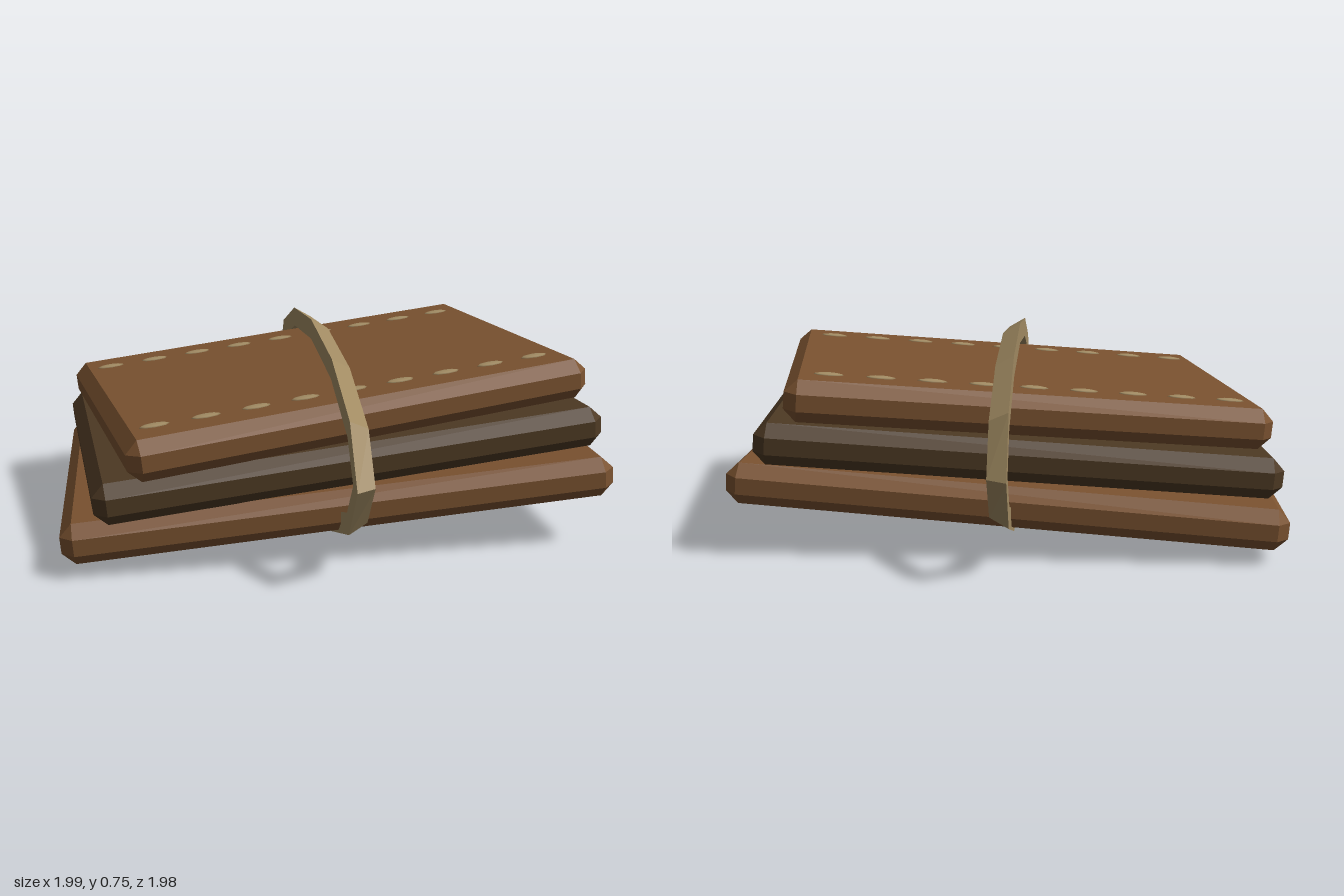
import * as THREE from 'three';
import { ConvexGeometry } from 'three/addons/geometries/ConvexGeometry.js';

// Box with one flat chamfer on every edge, from half sizes.
function chamferedBox(a, h, b, c) {
  const points = [];
  for (const sx of [-1, 1]) for (const sy of [-1, 1]) for (const sz of [-1, 1]) {
    points.push(
      new THREE.Vector3(sx * a, sy * (h - c), sz * (b - c)),
      new THREE.Vector3(sx * (a - c), sy * h, sz * (b - c)),
      new THREE.Vector3(sx * (a - c), sy * (h - c), sz * b)
    );
  }
  return new ConvexGeometry(points);
}

// Elliptical loop in the yz plane, sampled at even angles.
class StrapLoop extends THREE.Curve {
  getPoint(t, target = new THREE.Vector3()) {
    const angle = t * Math.PI * 2;
    return target.set(0, 0.375 + 0.335 * Math.sin(angle), 0.95 * Math.cos(angle));
  }
  getUtoTmapping(u) { return u; }
}

function material(name, color) {
  const m = new THREE.MeshStandardMaterial({ color });
  m.name = name;
  return m;
}

export function createModel() {
  const model = new THREE.Group();
  model.name = 'strappedHideStack';
  const leather = material('brown leather', 0x7a5230);
  const darkLeather = material('dark leather', 0x4d3923);
  const cord = material('tan cord', 0xa08a62);

  // Stacked hides, each smaller and turned further than the one below
  const hides = [
    { name: 'bottomHide', a: 0.998, b: 0.69, y: 0.193, yaw: 0, tilt: 0.076, mat: leather },
    { name: 'middleHide', a: 0.94, b: 0.655, y: 0.348, yaw: 0.09, tilt: 0.082, mat: darkLeather },
    { name: 'topHide', a: 0.875, b: 0.62, y: 0.505, yaw: 0.175, tilt: 0.09, mat: leather },
  ];
  const halfHeight = 0.075;
  let topHide;
  for (const hide of hides) {
    const group = new THREE.Group();
    group.name = hide.name;
    group.position.y = hide.y;
    group.rotation.set(0, hide.yaw, hide.tilt);
    const slab = new THREE.Mesh(chamferedBox(hide.a, halfHeight, hide.b, 0.045), hide.mat);
    slab.name = hide.name + 'Slab';
    group.add(slab);
    model.add(group);
    topHide = group;
  }

  // Two rows of stitches on the top hide
  const stitchGeometry = new THREE.SphereGeometry(1, 8, 6).scale(0.054, 0.008, 0.023);
  for (const side of [-1, 1]) {
    for (let i = 0; i < 9; i++) {
      const stitch = new THREE.Mesh(stitchGeometry, cord);
      stitch.name = 'stitch';
      stitch.position.set(-0.008 + (i - 4) * 0.184, halfHeight, side * 0.45);
      topHide.add(stitch);
    }
  }

  // Strap: faceted loop with a triangular section
  const strapGeometry = new THREE.TubeGeometry(new StrapLoop(), 12, 0.045, 3, true).toNonIndexed();
  strapGeometry.computeVertexNormals();
  const strap = new THREE.Mesh(strapGeometry, cord);
  strap.name = 'strap';
  model.add(strap);

  return model;
}
